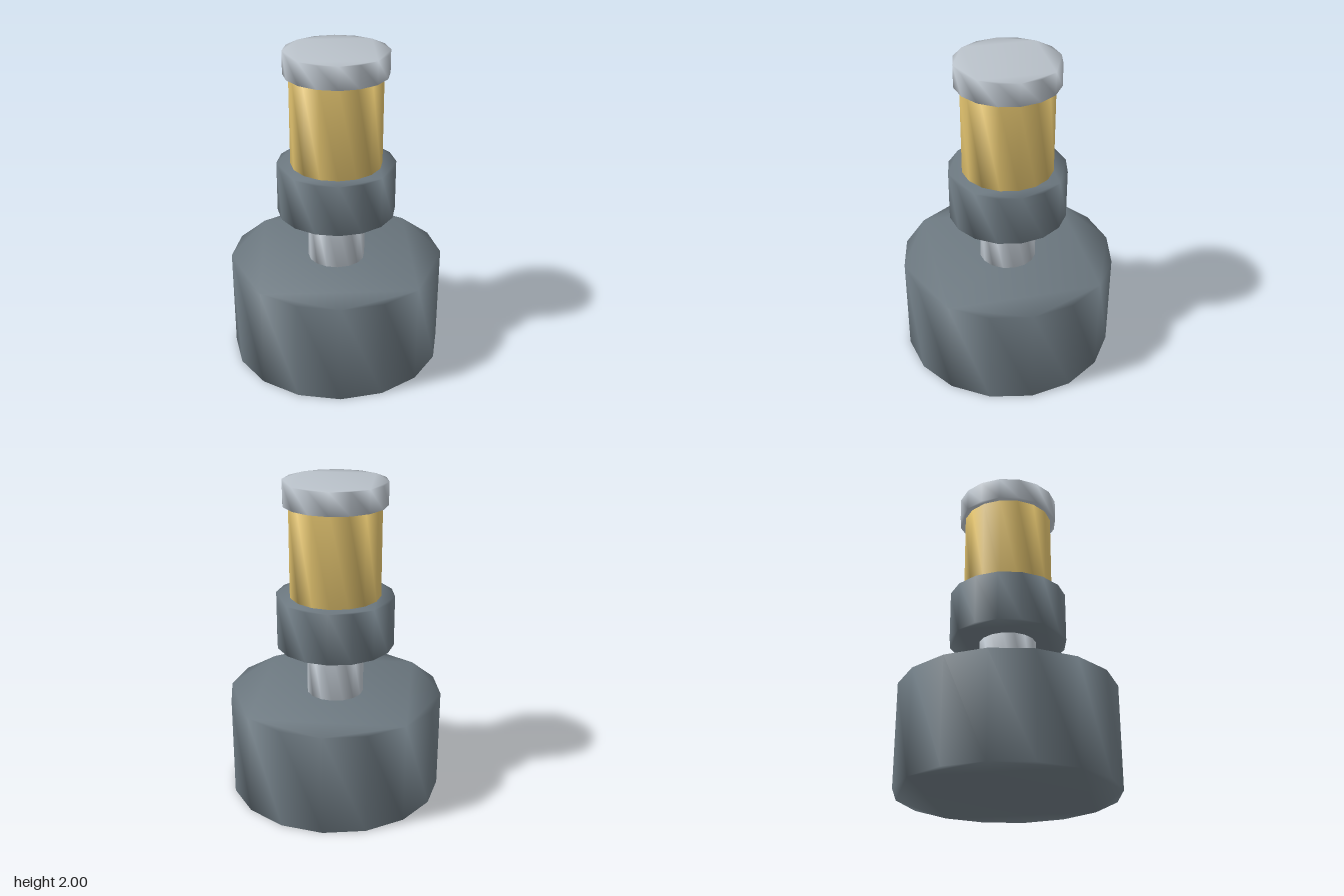
import * as THREE from 'three';
import { mergeVertices } from 'three/addons/utils/BufferGeometryUtils.js';

const SIDES = 16;

// Closed 16-sided drum whose normals are smoothed right over the rims
function drumGeometry(radius, bottom, top) {
  const outline = [];
  for (let i = 0; i < SIDES; i++) {
    const a = (i / SIDES) * Math.PI * 2;
    outline.push(new THREE.Vector2(Math.cos(a) * radius, Math.sin(a) * radius));
  }
  const solid = new THREE.ExtrudeGeometry(new THREE.Shape(outline), {
    depth: top - bottom, bevelEnabled: false, steps: 1,
  });
  solid.rotateX(-Math.PI / 2).translate(0, bottom, 0);
  solid.deleteAttribute('normal');
  solid.deleteAttribute('uv');
  solid.clearGroups();
  const geometry = mergeVertices(solid, 1e-4);
  geometry.computeVertexNormals();
  return geometry;
}

export function createModel() {
  const material = (name, color) => {
    const m = new THREE.MeshStandardMaterial({ color });
    m.name = name;
    return m;
  };
  const slate = material('slate grey', 0x6c7880);
  const silver = material('light silver', 0xb8c0c8);
  const brass = material('brass', 0xd9bb6a);

  // name, radius, bottom, top, material
  const parts = [
    ['base', 0.675, 0, 0.645, slate],
    ['stem', 0.18, 0.645, 0.97, silver],
    ['collar', 0.37, 0.97, 1.29, slate],
    ['barrel', 0.285, 1.29, 1.86, brass],
    ['cap', 0.32, 1.86, 2, silver],
  ];

  const model = new THREE.Group();
  model.name = 'stackedPost';
  for (const [name, radius, bottom, top, mat] of parts) {
    const mesh = new THREE.Mesh(drumGeometry(radius, bottom, top), mat);
    mesh.name = name;
    model.add(mesh);
  }
  return model;
}
